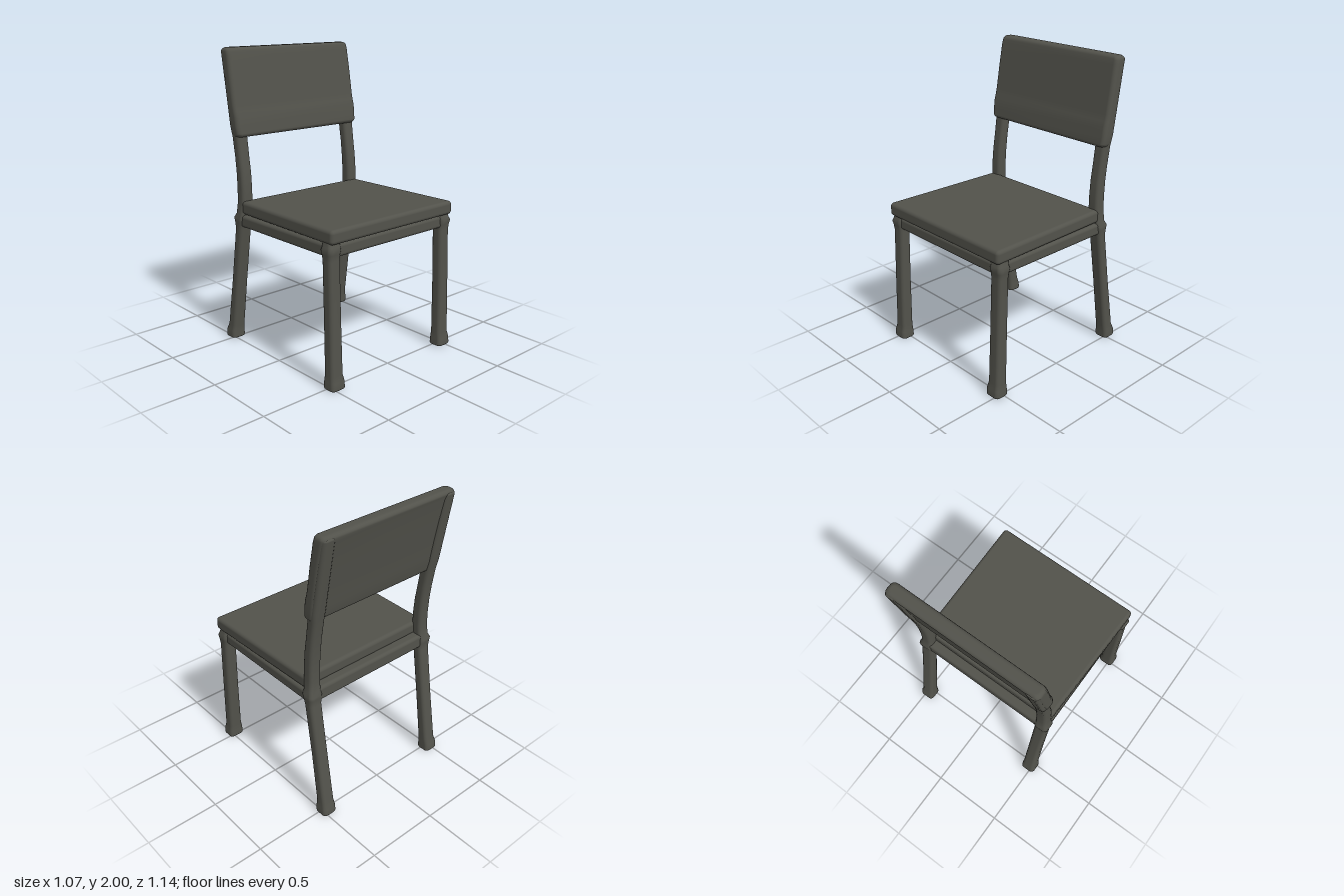
import * as THREE from 'three';
import { RoundedBoxGeometry } from 'three/addons/geometries/RoundedBoxGeometry.js';

// Rounded-rectangle sections [y, x, z, halfWidth, halfDepth] joined upward, with softened ends
function loft(sections, radius, endRadius) {
  const first = sections[0], last = sections[sections.length - 1];
  const rings = [];
  const steps = 4;
  const inset = ([y, x, z, w, d], dy, by) => [y + dy, x, z, w - by, d - by];
  for (let i = 0; i <= steps; i++) {
    const a = (i / steps) * Math.PI / 2;
    rings.push(inset(first, endRadius * (1 - Math.sin(a)), endRadius * (1 - Math.sin(a))));
    const r = rings[rings.length - 1];
    r[0] = first[0] + endRadius * (1 - Math.cos(a));
    r[3] = first[3] - endRadius * (1 - Math.sin(a));
    r[4] = first[4] - endRadius * (1 - Math.sin(a));
  }
  rings.push(...sections.slice(1, -1));
  for (let i = steps; i >= 0; i--) {
    const a = (i / steps) * Math.PI / 2;
    const r = inset(last, 0, endRadius * (1 - Math.sin(a)));
    r[0] = last[0] - endRadius * (1 - Math.cos(a));
    rings.push(r);
  }

  const corner = 4, n = 4 * (corner + 1);
  const pos = [], idx = [];
  for (const [y, x, z, w, d] of rings) {
    const r = Math.min(radius, w * 0.9, d * 0.9);
    for (let q = 0; q < 4; q++) {
      const sx = q === 0 || q === 3 ? 1 : -1, sz = q < 2 ? 1 : -1;
      for (let k = 0; k <= corner; k++) {
        const a = (q + k / corner) * Math.PI / 2;
        pos.push(x + sx * (w - r) + r * Math.cos(a), y, z + sz * (d - r) + r * Math.sin(a));
      }
    }
  }
  for (let j = 0; j < rings.length - 1; j++) {
    for (let i = 0; i < n; i++) {
      const a = j * n + i, b = j * n + (i + 1) % n;
      idx.push(a, a + n, b, b, a + n, b + n);
    }
  }
  // end caps
  for (const j of [0, rings.length - 1]) {
    const [y, x, z] = rings[j], c = pos.length / 3;
    pos.push(x, y, z);
    for (let i = 0; i < n; i++) {
      const a = j * n + i, b = j * n + (i + 1) % n;
      if (j === 0) idx.push(c, a, b);
      else idx.push(c, b, a);
    }
  }
  const g = new THREE.BufferGeometry();
  g.setAttribute('position', new THREE.Float32BufferAttribute(pos, 3));
  g.setIndex(idx);
  g.computeVertexNormals();
  return g;
}

// Rounded box given by its limits
function block(x0, x1, y0, y1, z0, z1, r) {
  const g = new RoundedBoxGeometry(x1 - x0, y1 - y0, z1 - z0, 4, r);
  return g.translate((x0 + x1) / 2, (y0 + y1) / 2, (z0 + z1) / 2);
}

export function createModel() {
  const chair = new THREE.Group();
  chair.name = 'chair';
  const paint = new THREE.MeshStandardMaterial({ color: 0x52524b });
  paint.name = 'dark grey paint';
  const add = (name, geometry) => {
    const m = new THREE.Mesh(geometry, paint);
    m.name = name;
    chair.add(m);
  };

  for (const s of [1, -1]) {
    const side = s > 0 ? 'left' : 'right';

    // front leg with a thicker foot and a swollen top joint
    add(side + 'FrontLeg', loft([
      [0.005, s * 0.482, 0.522, 0.055, 0.05],
      [0.06, s * 0.482, 0.522, 0.053, 0.048],
      [0.1, s * 0.482, 0.517, 0.047, 0.042],
      [0.45, s * 0.484, 0.508, 0.045, 0.041],
      [0.82, s * 0.484, 0.497, 0.045, 0.04],
      [0.86, s * 0.486, 0.497, 0.047, 0.044],
      [0.885, s * 0.487, 0.498, 0.05, 0.049],
      [0.905, s * 0.483, 0.496, 0.046, 0.043],
      [0.95, s * 0.48, 0.49, 0.042, 0.04],
    ], 0.025, 0.014));

    // back leg running up into the bent back post
    add(side + 'BackLegAndPost', loft([
      [0.005, s * 0.48, -0.52, 0.052, 0.05],
      [0.06, s * 0.48, -0.518, 0.051, 0.048],
      [0.1, s * 0.477, -0.509, 0.046, 0.042],
      [0.45, s * 0.475, -0.455, 0.045, 0.038],
      [0.82, s * 0.475, -0.397, 0.046, 0.037],
      [0.87, s * 0.477, -0.393, 0.048, 0.044],
      [0.895, s * 0.478, -0.392, 0.05, 0.048],
      [0.925, s * 0.472, -0.385, 0.044, 0.041],
      [1.0, s * 0.467, -0.379, 0.042, 0.041],
      [1.1, s * 0.466, -0.38, 0.042, 0.04],
      [1.2, s * 0.465, -0.387, 0.042, 0.039],
      [1.3, s * 0.465, -0.4, 0.042, 0.037],
      [1.43, s * 0.465, -0.419, 0.043, 0.038],
      [1.5, s * 0.468, -0.43, 0.046, 0.041],
      [1.985, s * 0.468, -0.51, 0.044, 0.041],
    ], 0.025, 0.014));

    // side rail
    add(side + 'Rail', block(s * 0.48 - 0.035, s * 0.48 + 0.035, 0.837, 0.92, -0.4, 0.5, 0.022));
  }

  // front and back rails
  add('frontRail', block(-0.48, 0.48, 0.837, 0.92, 0.46, 0.53, 0.022));
  add('backRail', block(-0.47, 0.47, 0.837, 0.935, -0.425, -0.355, 0.022));

  // seat, slightly narrower at the back
  const seat = block(-0.53, 0.53, 0.925, 1.015, -0.365, 0.555, 0.024);
  const p = seat.attributes.position;
  for (let i = 0; i < p.count; i++) {
    const t = (0.555 - p.getZ(i)) / 0.92;
    p.setX(i, p.getX(i) * (1 - 0.04 * t));
  }
  add('seat', seat);
  add('seatUnderside', block(-0.47, 0.47, 0.905, 0.935, -0.38, 0.49, 0.01));

  // leaning backrest with a fuller lower edge
  add('backrest', loft([
    [1.43, 0, -0.403, 0.515, 0.043],
    [1.5, 0, -0.412, 0.52, 0.045],
    [1.56, 0, -0.42, 0.52, 0.046],
    [1.6, 0, -0.429, 0.52, 0.043],
    [1.64, 0, -0.437, 0.52, 0.042],
    [1.8, 0, -0.464, 0.52, 0.043],
    [1.95, 0, -0.492, 0.518, 0.045],
    [2.0, 0, -0.5, 0.517, 0.046],
  ], 0.028, 0.026));

  return chair;
}
